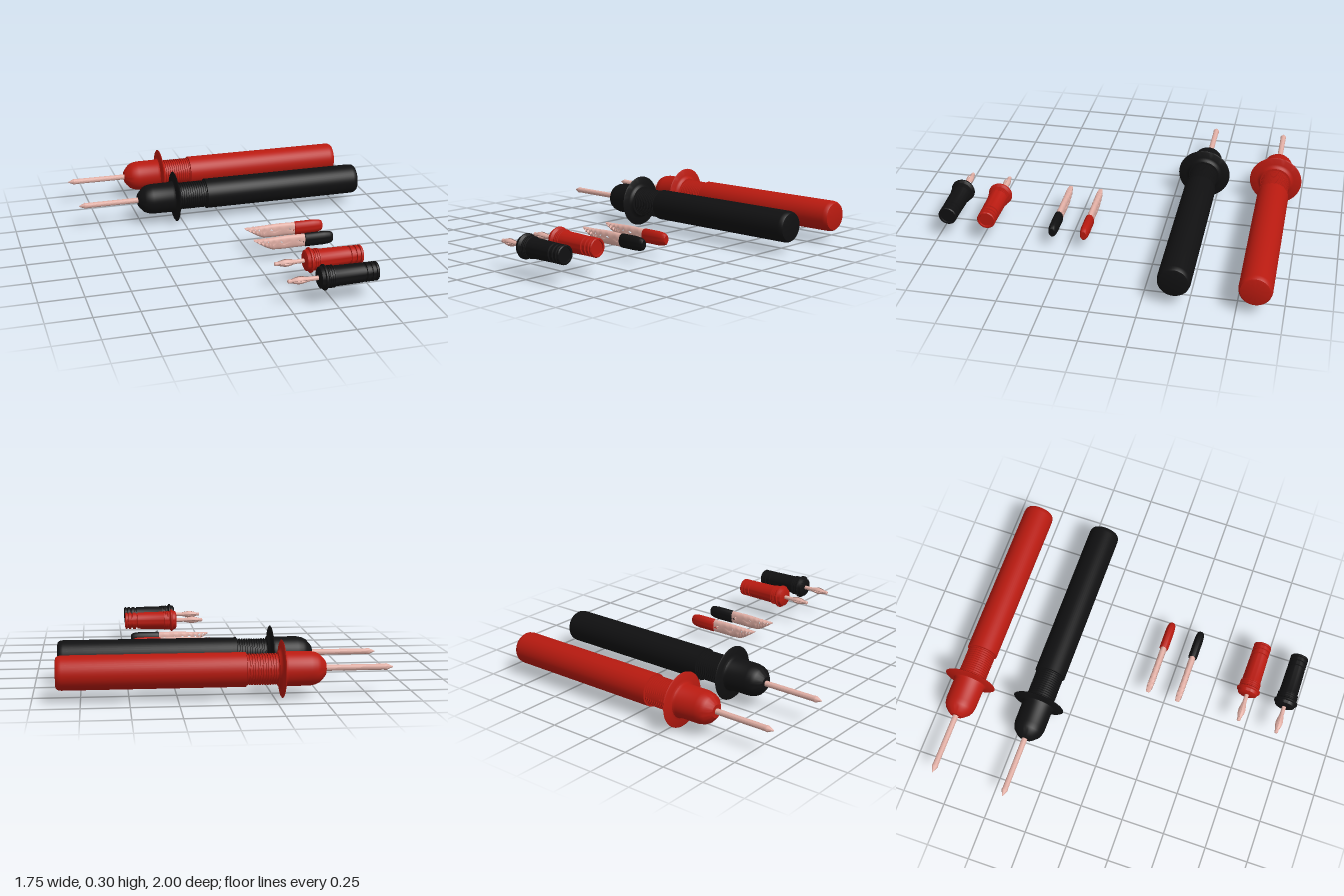
import * as THREE from 'three';
import { toCreasedNormals } from 'three/addons/utils/BufferGeometryUtils.js';
import { ParametricGeometry } from 'three/addons/geometries/ParametricGeometry.js';

const material = (color, side = THREE.FrontSide) => new THREE.MeshStandardMaterial({ color, side });
const RED = material(0xb81a10);
const BLACK = material(0x101011);
const METAL = material(0xe0aea4);
const SHEET = material(0xe0aea4, THREE.DoubleSide);

function add(group, name, geometry, mat) {
  const mesh = new THREE.Mesh(geometry, mat);
  mesh.name = name;
  group.add(mesh);
  return mesh;
}

// Turned part along the x axis; profile points are [x, radius]
function turned(profile, segments = 40, start = 0, length = Math.PI * 2) {
  const points = profile.map(([x, r]) => new THREE.Vector2(r, x));
  const geometry = new THREE.LatheGeometry(points, segments, start, length);
  geometry.rotateZ(-Math.PI / 2);
  return toCreasedNormals(geometry, 0.6);
}

// Row of ribs: each one steps from the low to the high radius and back
function ribs(x0, x1, count, low, high) {
  const step = (x1 - x0) / count;
  const profile = [];
  for (let i = 0; i < count; i++) {
    const x = x0 + i * step;
    profile.push([x, low], [x + step * 0.4, low], [x + step * 0.5, high], [x + step * 0.9, high]);
  }
  profile.push([x1, low]);
  return profile;
}

function testProbe(name, mat, z) {
  const g = new THREE.Group();
  g.name = name;
  g.position.set(0, 0.152, z);
  add(g, 'needle', turned([
    [-0.878, 0], [-0.872, 0.004], [-0.84, 0.018], [-0.825, 0.016], [-0.5, 0.016],
  ], 20), METAL);
  // Nose, finger guard, ribbed neck and long grip in one turned profile
  add(g, 'handle', turned([
    [-0.518, 0], [-0.518, 0.036], [-0.508, 0.05], [-0.485, 0.074], [-0.465, 0.084], [-0.435, 0.09],
    [-0.315, 0.091], [-0.302, 0.097], [-0.296, 0.11], [-0.294, 0.146], [-0.29, 0.152],
    [-0.286, 0.146], [-0.284, 0.11], [-0.278, 0.097], [-0.268, 0.09], [-0.266, 0.076],
    ...ribs(-0.264, -0.102, 12, 0.075, 0.082),
    [-0.1, 0.09], [0.845, 0.09], [0.862, 0.087], [0.872, 0.08], [0.875, 0.07], [0.875, 0],
  ], 48), mat);
  return g;
}

// Half-round sheet jaw; dir is +1 for the upper jaw, -1 for the lower
function jaw(dir) {
  const teeth = 8;
  const back = new THREE.SplineCurve((dir > 0
    ? [[-0.012, 0.033], [0.04, 0.033], [0.1, 0.036], [0.19, 0.039], [0.3, 0.036]]
    : [[-0.012, 0.026], [0.025, 0.002], [0.07, -0.025], [0.12, -0.037], [0.3, -0.037]]
  ).map(([x, y]) => new THREE.Vector2(x, y)));
  const p = new THREE.Vector2();
  const surface = (u, v, target) => {
    back.getPoint(u, p);
    const phase = (u * teeth) % 1;
    const zigzag = (Math.abs(phase - 0.5) * 4 - 1) * 0.008 * Math.min(1, u * 5);
    const edge = 0.03 * (1 - u) ** 2 + zigzag + dir * 0.003 * Math.min(1, u * 5);
    const a = v * Math.PI;
    const width = 0.011 + 0.007 * Math.min(1, u * 4);
    // Flat cheeks with a rounded back
    target.set(p.x, edge + (p.y - edge) * Math.sin(a) ** 0.7, dir * width * Math.cos(a));
  };
  return new ParametricGeometry(surface, teeth * 8, 16);
}

function crocodileClip(name, mat, z) {
  const g = new THREE.Group();
  g.name = name;
  g.position.set(0, 0.107, z);
  add(g, 'upperJaw', jaw(1), SHEET);
  add(g, 'lowerJaw', jaw(-1), SHEET);
  // Hinge pin across the jaws
  const pin = add(g, 'hingePin', new THREE.CylinderGeometry(0.006, 0.006, 0.036, 12), METAL);
  pin.rotation.x = Math.PI / 2;
  pin.position.set(0.262, 0, 0);
  const sleeve = add(g, 'sleeve', turned([
    [0.285, 0], [0.285, 0.036], [0.292, 0.04], [0.4, 0.04], [0.43, 0.037], [0.448, 0.031],
    [0.454, 0.024], [0.454, 0],
  ], 32), mat);
  sleeve.scale.z = 0.66;
  return g;
}

function bananaPlug(name, mat, z) {
  const g = new THREE.Group();
  g.name = name;
  g.position.set(0, 0.155, z);
  add(g, 'pin', turned([
    [-0.014, 0], [-0.014, 0.007], [-0.009, 0.011], [0.006, 0.011], [0.01, 0.007],
    [0.085, 0.007], [0.09, 0.012], [0.16, 0.012],
  ], 20), METAL);
  // Four bowed contact springs around the pin
  for (let i = 0; i < 4; i++) {
    add(g, 'contactSpring', turned([
      [0.004, 0.01], [0.025, 0.017], [0.045, 0.021], [0.06, 0.021], [0.08, 0.017], [0.105, 0.012],
    ], 6, i * Math.PI / 2 + 0.2, 1.17), SHEET);
  }
  // Flared collar, ribbed ring, body and grooved tail with a recessed end
  add(g, 'housing', turned([
    [0.154, 0], [0.154, 0.045], [0.16, 0.056], [0.176, 0.061], [0.18, 0.069], [0.188, 0.069],
    [0.194, 0.062], ...ribs(0.198, 0.234, 3, 0.056, 0.06),
    [0.238, 0.055], [0.4, 0.052], [0.402, 0.045], [0.41, 0.045], [0.412, 0.052],
    [0.43, 0.052], [0.432, 0.045], [0.44, 0.045], [0.442, 0.052],
    [0.456, 0.052], [0.458, 0.045], [0.464, 0.045], [0.466, 0.052],
    [0.474, 0.052], [0.479, 0.048], [0.479, 0.04], [0.472, 0.038], [0.472, 0],
  ], 40), mat);
  return g;
}

export function createModel() {
  const model = new THREE.Group();
  model.name = 'testLeadSet';
  model.add(
    testProbe('redProbe', RED, -0.848),
    testProbe('blackProbe', BLACK, -0.422),
    crocodileClip('redClip', RED, 0.152),
    crocodileClip('blackClip', BLACK, 0.332),
    bananaPlug('redPlug', RED, 0.705),
    bananaPlug('blackPlug', BLACK, 0.931),
  );
  return model;
}
